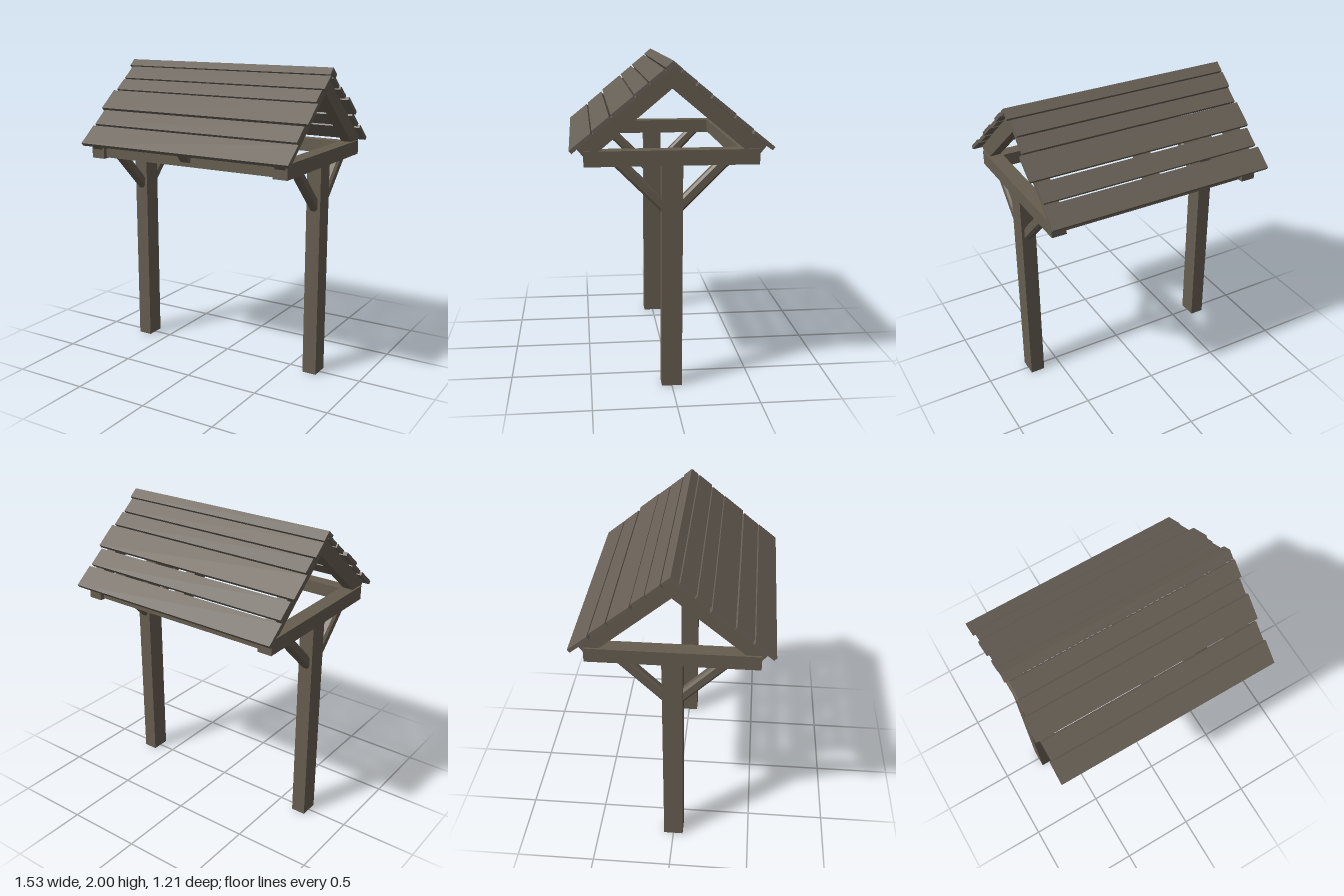
import * as THREE from 'three';

const beamWood = new THREE.MeshStandardMaterial({ color: 0x665d50 });
beamWood.name = 'beam wood';
const plankWood = new THREE.MeshStandardMaterial({ color: 0x675f55 });
plankWood.name = 'plank wood';

const SLOPE = 0.84; // roof drop per unit of z
const PITCH = Math.atan(SLOPE);

function add(parent, name, geometry, material, x = 0, y = 0, z = 0) {
  const mesh = new THREE.Mesh(geometry, material);
  mesh.name = name;
  mesh.position.set(x, y, z);
  parent.add(mesh);
  return mesh;
}

function polygon(points) {
  return new THREE.Shape(points.map(([x, y]) => new THREE.Vector2(x, y)));
}

function centredExtrude(shape, depth) {
  return new THREE.ExtrudeGeometry(shape, { depth, bevelEnabled: false }).translate(0, 0, -depth / 2);
}

export function createModel() {
  const group = new THREE.Group();
  group.name = 'gatePorch';

  const frame = new THREE.Group();
  frame.name = 'frame';
  frame.position.x = -0.005;
  group.add(frame);

  // Chevron pair of rafters, cut square at the feet
  const half = [[0.562, 1.5], [0.498, 1.423]];
  const chevron = polygon([
    [0, 1.97], ...half, [0, 1.84],
    ...half.slice().reverse().map(([x, y]) => [-x, y]),
  ]);
  const rafterGeometry = centredExtrude(chevron, 0.07).rotateY(Math.PI / 2);
  for (const x of [-0.672, 0, 0.672]) add(frame, 'rafterPair', rafterGeometry, beamWood, x);

  // Chamfered diagonal brace section
  const w = 0.03, h = 0.034, c = 0.014;
  const braceSection = polygon([
    [-w + c, -h], [w - c, -h], [w, -h + c], [w, h - c],
    [w - c, h], [-w + c, h], [-w, h - c], [-w, -h + c],
  ]);
  const braceGeometry = centredExtrude(braceSection, 0.42);

  // Posts, tie beams and braces
  for (const x of [-0.672, 0.672]) {
    add(frame, 'post', new THREE.BoxGeometry(0.095, 1.39, 0.125), beamWood, x, 0.695, 0);
    add(frame, 'tieBeam', new THREE.BoxGeometry(0.095, 0.092, 1.04), beamWood, x, 1.436, 0);
    for (const side of [-1, 1]) {
      const brace = add(frame, 'brace', braceGeometry, beamWood, x, 1.272, side * 0.18);
      brace.rotation.x = -side * Math.PI / 4;
    }
  }

  // Eave beams joining the two ends
  for (const side of [-1, 1]) {
    add(frame, 'eaveBeam', new THREE.BoxGeometry(1.25, 0.085, 0.085), beamWood, 0, 1.438, side * 0.45);
  }

  // Roof planks: [z start, z end, x min, x max] from ridge to eave
  const planks = {
    1: [
      [0, 0.046, -0.76, 0.75], [0.046, 0.14, -0.735, 0.757], [0.14, 0.224, -0.74, 0.745],
      [0.224, 0.36, -0.764, 0.76], [0.364, 0.47, -0.735, 0.745], [0.472, 0.602, -0.745, 0.76],
    ],
    '-1': [
      [0, 0.054, -0.76, 0.75], [0.054, 0.143, -0.762, 0.73], [0.143, 0.228, -0.75, 0.74],
      [0.228, 0.364, -0.764, 0.76], [0.37, 0.474, -0.75, 0.73], [0.478, 0.602, -0.765, 0.74],
    ],
  };
  const thick = 0.024, gap = 0.012;
  for (const side of [1, -1]) {
    planks[side].forEach(([z0, z1, x0, x1], i) => {
      const start = i ? z0 + gap * 0.6 : z0;
      const length = (z1 - start) / Math.cos(PITCH);
      const zTop = (start + z1) / 2;
      const plank = add(
        group, i ? 'roofPlank' : 'ridgePlank',
        new THREE.BoxGeometry(x1 - x0, thick, length), plankWood,
        (x0 + x1) / 2,
        2 - SLOPE * zTop - (thick / 2) * Math.cos(PITCH),
        side * (zTop - (thick / 2) * Math.sin(PITCH)),
      );
      // slight lift at the lower edge of each board
      plank.rotation.x = side * (PITCH - (i ? 0.02 : 0));
    });
  }

  return group;
}
